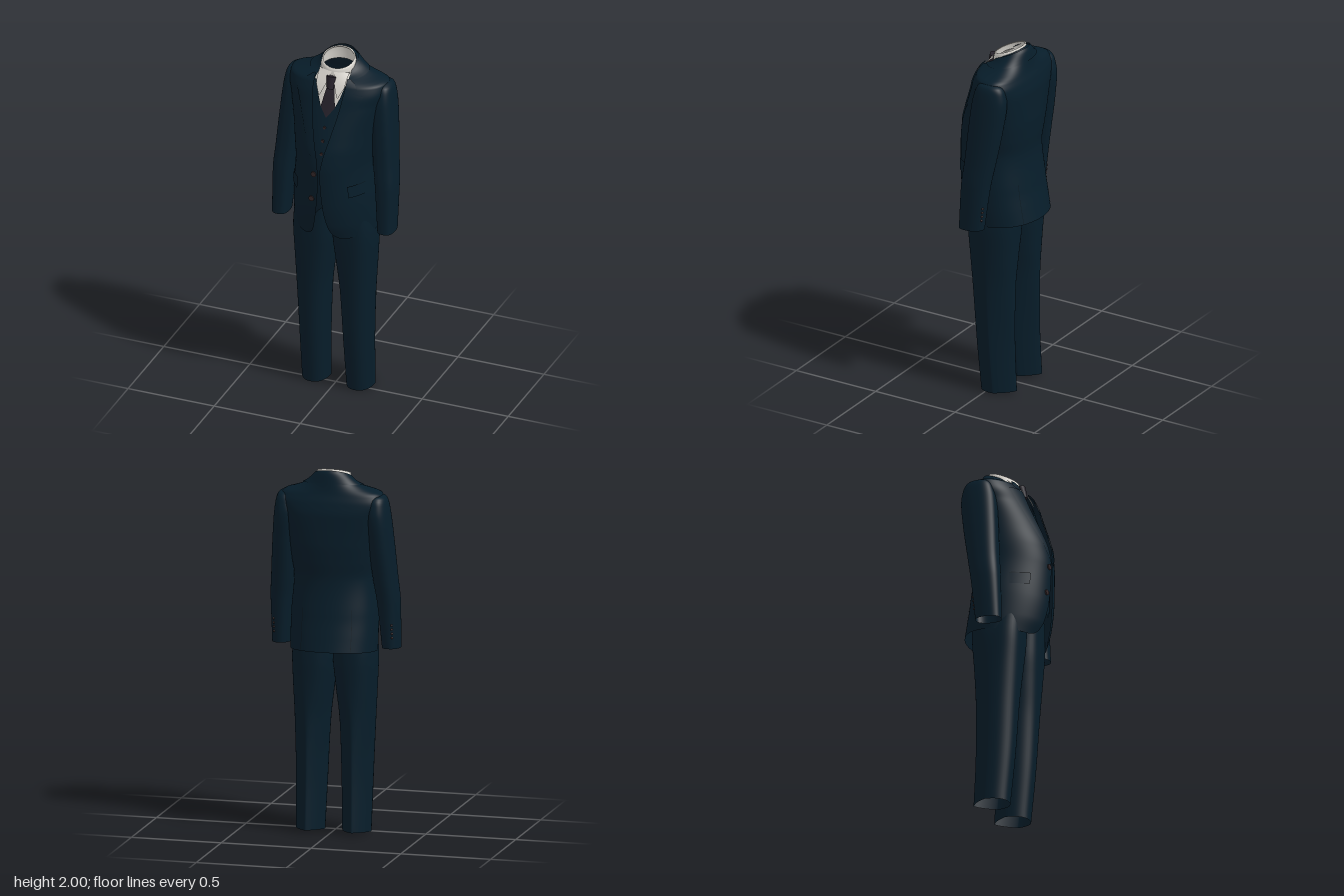
import * as THREE from 'three';

const mat = (name, color) => {
  const m = new THREE.MeshStandardMaterial({ color, side: THREE.DoubleSide });
  m.name = name;
  return m;
};

// Smooth monotone interpolation of key rows [y, a, b, ...] at height y
function sample(keys, y) {
  const n = keys.length;
  if (y <= keys[0][0]) return keys[0];
  if (y >= keys[n - 1][0]) return keys[n - 1];
  let i = 0;
  while (y > keys[i + 1][0]) i++;
  const slope = (j, c) => (keys[j + 1][c] - keys[j][c]) / (keys[j + 1][0] - keys[j][0]);
  const tangent = (j, c) => {
    if (j === 0) return slope(0, c);
    if (j === n - 1) return slope(n - 2, c);
    const p = slope(j - 1, c), q = slope(j, c);
    return p * q <= 0 ? 0 : (2 * p * q) / (p + q);
  };
  const h = keys[i + 1][0] - keys[i][0], t = (y - keys[i][0]) / h;
  return keys[i].map((v, c) => {
    if (c === 0) return y;
    const t2 = t * t, t3 = t2 * t;
    return (2 * t3 - 3 * t2 + 1) * v + (t3 - 2 * t2 + t) * h * tangent(i, c)
      + (3 * t2 - 2 * t3) * keys[i + 1][c] + (t3 - t2) * h * tangent(i + 1, c);
  });
}

// Surface through rows of points
function grid(rows, closed = false) {
  const w = rows[0].length, pos = [], idx = [];
  rows.forEach(r => r.forEach(p => pos.push(...p)));
  for (let i = 0; i < rows.length - 1; i++) {
    for (let j = 0; j < (closed ? w : w - 1); j++) {
      const a = i * w + j, b = i * w + (j + 1) % w;
      idx.push(a, b, a + w, b, b + w, a + w);
    }
  }
  const g = new THREE.BufferGeometry();
  g.setAttribute('position', new THREE.Float32BufferAttribute(pos, 3));
  g.setIndex(idx);
  g.computeVertexNormals();
  return g;
}

const levels = (a, b, n) => Array.from({ length: n + 1 }, (_, i) => a + (b - a) * i / n);
const turn = n => levels(0, Math.PI * 2, n).slice(0, -1);
const power = (v, e) => Math.sign(v) * Math.abs(v) ** e;

// Jacket body: y, half width, front z, back z, widest z, tilt, front and back roundness
const BODY = [
  [0.995, 0.235, 0.188, -0.243, -0.02, 0.09, 1.15, 0.8],
  [1.08, 0.237, 0.22, -0.228, -0.015, 0.05, 1.2, 0.8],
  [1.2, 0.235, 0.237, -0.208, -0.01, 0, 1.2, 0.8],
  [1.4, 0.221, 0.243, -0.186, -0.01, 0, 1.2, 0.8],
  [1.5, 0.23, 0.232, -0.194, -0.02, 0, 1.15, 0.7],
  [1.6, 0.24, 0.203, -0.2, -0.03, 0, 1.05, 0.6],
  [1.75, 0.262, 0.146, -0.199, -0.05, 0, 0.85, 0.5],
  [1.82, 0.28, 0.12, -0.187, -0.06, 0, 0.85, 0.5],
  [1.866, 0.273, 0.097, -0.172, -0.065, 0, 0.85, 0.65],
  [1.89, 0.212, 0.083, -0.165, -0.062, 0.05, 0.95, 0.85],
  [1.91, 0.158, 0.07, -0.16, -0.06, 0.15, 1, 1],
  [1.935, 0.116, 0.05, -0.153, -0.055, 0.35, 1, 1],
  [1.95, 0.099, 0.035, -0.142, -0.05, 0.45, 1, 1],
  [1.953, 0.094, 0.03, -0.126, -0.045, 0.48, 1, 1],
];
// Front opening: y, distance of the edge from the centre line
const EDGE = [
  [0.995, 0.11], [1.005, 0.082], [1.03, 0.058], [1.08, 0.038], [1.2, 0.016],
  [1.37, 0.005], [1.45, 0.012], [1.6, 0.047], [1.7, 0.07], [1.87, 0.092], [1.953, 0.088],
];

// Point on a body-like section at angle a from the front
function bodyPoint([y, hw, zf, zb, zc, tilt, ef, eb], a, grow = 0) {
  const c = Math.cos(a);
  const z = zc + (c > 0 ? power(c, ef) * (zf - zc + grow) : power(c, eb) * (zc - zb + grow));
  return [(hw + grow) * Math.sin(a), y - tilt * (z - zc) + grow, z];
}

// Depth of the jacket front at x, y
function frontZ(x, y) {
  const [, hw, zf, , zc, , ef] = sample(BODY, y);
  return zc + (zf - zc) * Math.sqrt(Math.max(0, 1 - (x / hw) ** 2)) ** ef;
}

function jacketShell(y0, y1, n, grow = 0) {
  return grid(levels(y0, y1, n).map(y => {
    const sec = sample(BODY, y);
    const a0 = Math.asin(Math.min(0.97, sample(EDGE, y)[1] / sec[1]));
    return levels(a0, Math.PI * 2 - a0, 120).map(a => bodyPoint(sec, a, grow));
  }));
}

// Cloth laid over the chest; rows are [y, inner x, outer x], s mirrors it
function drape(keys, offset, s = 1, n = 5) {
  const rows = [];
  keys.forEach((k, i) => {
    if (i === 0) return rows.push(k);
    const p = keys[i - 1];
    for (let j = 1; j <= n; j++) rows.push(k.map((v, c) => p[c] + (v - p[c]) * j / n));
  });
  if (s < 0) rows.reverse();
  return grid(rows.map(([y, xa, xb]) =>
    levels(xa, xb, 10).map(x => [x * s, y, frontZ(x, y) + offset])));
}

// Limbs: y, inner x, outer x, front z, back z, tilt, front and back roundness
const LEG = [
  [0.005, 0.05, 0.207, 0.05, -0.16, 0.08, 1, 1.7],
  [0.3, 0.04, 0.213, 0.08, -0.148, 0, 1, 1.7],
  [0.6, 0.028, 0.222, 0.1, -0.145, 0, 0.95, 1.4],
  [0.8, 0.009, 0.228, 0.115, -0.15, 0, 0.85, 1.05],
  [0.95, -0.003, 0.231, 0.125, -0.16, 0, 0.75, 0.95],
  [1.15, -0.003, 0.21, 0.13, -0.165, 0, 0.65, 0.9],
];
const SLEEVE = [
  [1.01, 0.257, 0.354, 0.085, -0.06, 0.06, 0.85, 1],
  [1.26, 0.236, 0.357, 0.074, -0.09, 0, 0.85, 1],
  [1.4, 0.218, 0.348, 0.06, -0.115, 0, 0.85, 1],
  [1.6, 0.2, 0.333, 0.045, -0.15, 0, 0.85, 1],
  [1.75, 0.19, 0.319, 0.03, -0.167, 0, 0.85, 1],
  [1.82, 0.2, 0.308, 0.012, -0.155, 0, 0.85, 1],
  [1.85, 0.21, 0.297, -0.005, -0.138, 0, 0.85, 1],
  [1.864, 0.225, 0.28, -0.03, -0.11, 0, 0.85, 1],
  [1.868, 0.24, 0.25, -0.055, -0.08, 0, 0.85, 1],
];
// Values over 1 pinch that half towards a crease
function limbPoint([y, xi, xo, zf, zb, tilt, ef, eb], a, s) {
  const c = Math.cos(a), e = c > 0 ? ef : eb;
  const dz = power(c, e) * (zf - zb) / 2;
  const x = (xi + xo) / 2 + power(Math.sin(a), 0.85 * e) * (xo - xi) / 2;
  return [s * x, y - tilt * dz, (zf + zb) / 2 + dz];
}
function limb(keys, s, n) {
  const angles = turn(48);
  if (s < 0) angles.reverse();
  return grid(levels(keys[0][0], keys[keys.length - 1][0], n).map(y =>
    angles.map(a => limbPoint(sample(keys, y), a, s))), true);
}

export function createModel() {
  const model = new THREE.Group();
  model.name = 'threePieceSuit';
  const navy = mat('navy cloth', 0x071d2a);
  const white = mat('shirt white', 0xd8d5ce);
  const dark = mat('tie charcoal', 0x25212a);
  const brown = mat('button brown', 0x35282a);
  const seam = mat('seam shadow blue', 0x05151e);
  const add = (name, geo, m) => {
    const mesh = new THREE.Mesh(geo, m);
    mesh.name = name;
    model.add(mesh);
    return mesh;
  };

  // Jacket body and turned-down collar
  add('jacketBody', jacketShell(0.995, 1.953, 100), navy);
  add('jacketCollar', jacketShell(1.908, 1.95, 6, 0.004), navy);

  for (const s of [1, -1]) {
    const side = s > 0 ? 'left' : 'right';
    add(side + 'Trouser', limb(LEG, s, 30), navy);
    add(side + 'Sleeve', limb(SLEEVE, s, 80), navy);

    // Notched lapel, pocket flap and waistcoat half
    add(side + 'Lapel', drape([[1.4, 0.004, 0.008], [1.5, 0.022, 0.058], [1.6, 0.046, 0.102],
      [1.7, 0.069, 0.142], [1.8, 0.085, 0.182], [1.828, 0.088, 0.194], [1.84, 0.09, 0.14]], 0.006, s), navy);
    add(side + 'CollarLeaf', drape([[1.841, 0.09, 0.139], [1.862, 0.092, 0.156],
      [1.885, 0.092, 0.136], [1.905, 0.09, 0.105]], 0.006, s), navy);
    add(side + 'PocketFlap', drape([[1.25, 0.15, 0.212], [1.315, 0.142, 0.207]], 0.013, s), navy);
    add(side + 'PocketSeam', drape([[1.315, 0.142, 0.207], [1.319, 0.142, 0.207]], 0.013, s), seam);
    add(side + 'Waistcoat', drape([[1.13, 0.034, 0.045], [1.17, 0, 0.11], [1.4, 0, 0.13],
      [1.69, 0, 0.14], [1.74, 0.038, 0.14], [1.8, 0.063, 0.14], [1.87, 0.083, 0.12]], -0.028, s), navy);

    // Shirt front half and collar point
    add(side + 'ShirtFront', drape([[1.62, 0, 0.1], [1.8, 0, 0.11], [1.92, 0, 0.1]], -0.042, s), white);
    add(side + 'ShirtCollarPoint', drape([[1.805, 0.05, 0.056], [1.86, 0.026, 0.082],
      [1.925, 0.006, 0.086]], -0.014, s), white);

    // Back vent line
    const vent = levels(1.0, 1.24, 10).map(y => [-0.008, 0.008].map(d =>
      bodyPoint(sample(BODY, y), s * (Math.PI - 0.62) + d, 0.002)));
    add(side + 'Vent', grid(vent), seam);

    // Cuff buttons
    for (let i = 0; i < 4; i++) {
      const b = add(side + 'CuffButton', new THREE.SphereGeometry(0.0065, 10, 6), brown);
      b.position.set(...limbPoint(sample(SLEEVE, 1.075 + i * 0.024), 2.7, s));
    }
  }
  add('breastPocket', drape([[1.645, 0.11, 0.185], [1.67, 0.112, 0.188]], 0.007), navy);

  // Shirt collar band, higher at the nape, with its rim folded inwards
  const BAND = [
    [1.9, 0.1, 0.05, -0.128, -0.04, 0.2, 1, 1],
    [1.94, 0.097, 0.047, -0.125, -0.04, 0.32, 1, 1],
    [1.97, 0.091, 0.04, -0.12, -0.04, 0.375, 1, 1],
  ];
  const RIM = [1.968, 0.084, 0.033, -0.113, -0.04, 0.375, 1, 1];
  const bandRows = [...levels(1.9, 1.97, 6).map(y => sample(BAND, y)), RIM];
  add('shirtCollar', grid(bandRows.map(sec => turn(48).map(a => bodyPoint(sec, a))), true), white);

  // Tie blade and knot
  add('tieBlade', drape([[1.66, -0.036, 0.036], [1.74, -0.042, 0.042], [1.86, -0.018, 0.018]], -0.033), dark);
  const knot = add('tieKnot', new THREE.CylinderGeometry(0.027, 0.018, 0.07, 16), dark);
  knot.scale.z = 0.75;
  knot.position.set(0, 1.873, 0.074);
  knot.rotation.x = -0.3;

  // Jacket and waistcoat buttons
  const button = (name, x, y, r, off) => {
    const b = add(name, new THREE.CylinderGeometry(r, r, 0.008, 16), brown);
    b.rotation.x = Math.PI / 2;
    b.rotation.z = -x * 2;
    b.position.set(x, y, frontZ(x, y) + off);
  };
  button('jacketButton', -0.03, 1.39, 0.015, 0.003);
  button('jacketButton', -0.045, 1.235, 0.015, 0.003);
  for (const y of [1.64, 1.57, 1.5]) button('waistcoatButton', 0, y, 0.008, -0.026);

  return model;
}
